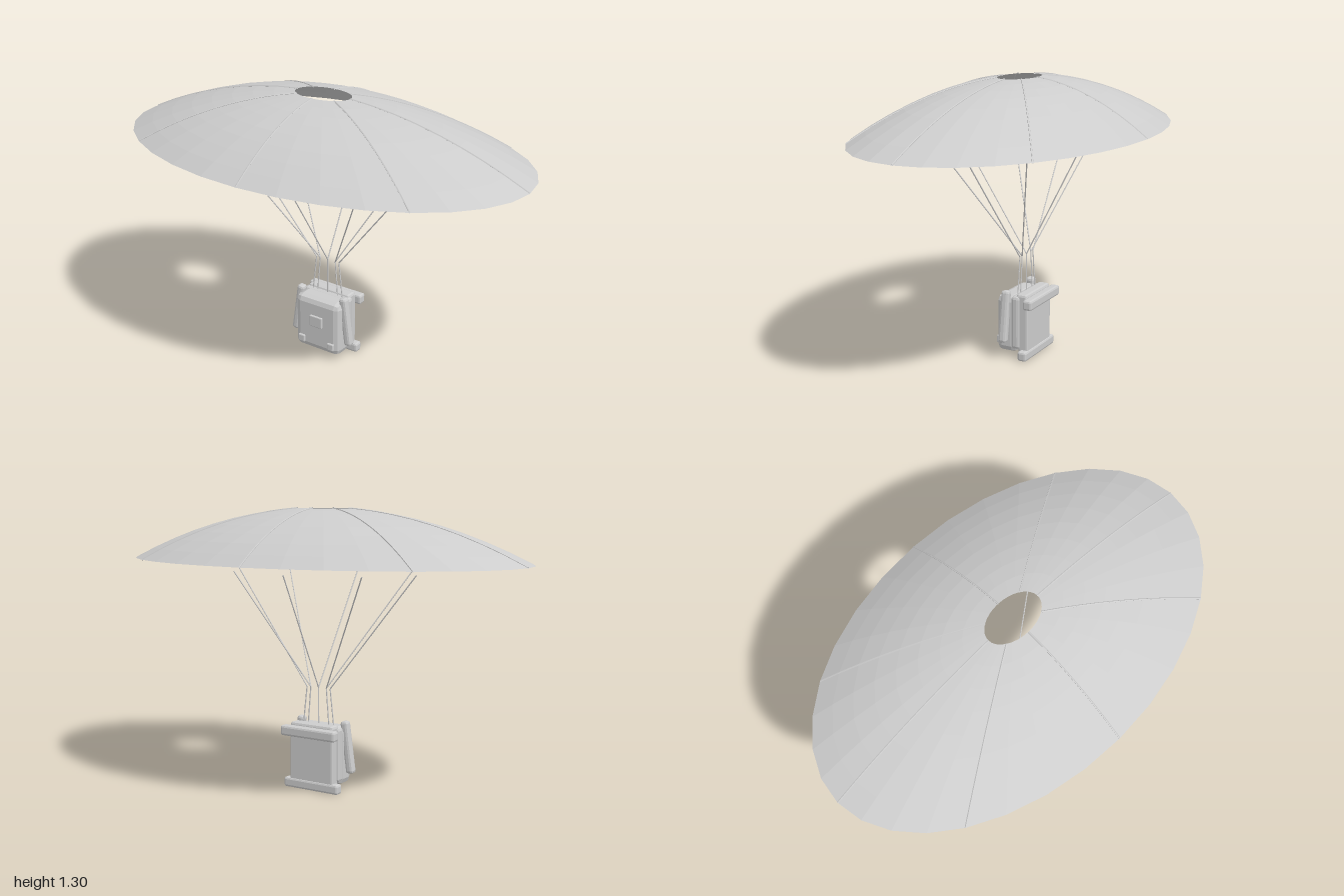
import * as THREE from 'three';
import { RoundedBoxGeometry } from 'three/addons/geometries/RoundedBoxGeometry.js';

const grey = new THREE.MeshStandardMaterial({ color: 0xcccccc, flatShading: true, side: THREE.DoubleSide });
grey.name = 'grey';

const DEPTH = 0.62; // canopy depth relative to its width
const domeY = (r) => 1.06 + 0.24 * (1 - r * r);

function add(parent, name, geometry, x = 0, y = 0, z = 0) {
  const mesh = new THREE.Mesh(geometry, grey);
  mesh.name = name;
  mesh.position.set(x, y, z);
  parent.add(mesh);
  return mesh;
}

// Rounded block given by its extents
function block(parent, name, [x0, x1], [y0, y1], [z0, z1], radius) {
  return add(parent, name, new RoundedBoxGeometry(x1 - x0, y1 - y0, z1 - z0, 1, radius),
    (x0 + x1) / 2, (y0 + y1) / 2, (z0 + z1) / 2);
}

// Thin straight cord between two points
function cord(parent, name, a, b, radius = 0.003) {
  const dir = b.clone().sub(a);
  const mesh = add(parent, name, new THREE.CylinderGeometry(radius, radius, dir.length(), 6));
  mesh.position.copy(a).add(b).multiplyScalar(0.5);
  mesh.quaternion.setFromUnitVectors(new THREE.Vector3(0, 1, 0), dir.normalize());
}

function buildCanopy() {
  const canopy = new THREE.Group();
  canopy.name = 'canopy';
  // Oval dome with an open vent at the crown
  const profile = [];
  for (let i = 0; i <= 8; i++) {
    const r = 1 - (i / 8) * 0.86;
    profile.push(new THREE.Vector2(r, domeY(r)));
  }
  const dome = new THREE.LatheGeometry(profile, 32);
  dome.scale(1, 1, DEPTH);
  add(canopy, 'dome', dome);
  // Eight seams from vent to rim
  for (let i = 0; i < 8; i++) {
    const a = i * Math.PI / 4;
    const points = profile.map((p) => new THREE.Vector3(Math.cos(a) * p.x * 0.998, p.y, Math.sin(a) * p.x * DEPTH * 0.998));
    add(canopy, 'seam', new THREE.TubeGeometry(new THREE.CatmullRomCurve3(points), 16, 0.004, 5));
  }
  return canopy;
}

function buildLines() {
  const lines = new THREE.Group();
  lines.name = 'suspensionLines';
  for (let i = 0; i < 8; i++) {
    const a = i * Math.PI / 4;
    const c = Math.cos(a);
    const side = Math.abs(c) < 0.01 ? 0 : Math.sign(c);
    const outer = Math.abs(c) > 0.9;
    const top = new THREE.Vector3(0.485 * c, 1.01, 0.313 * Math.sin(a));
    const knot = new THREE.Vector3(side * (outer ? 0.064 : 0.043), 0.475, -0.036);
    const foot = new THREE.Vector3(side * (outer ? 0.086 : 0.059), 0.28, -0.036);
    cord(lines, 'line', top, knot);
    cord(lines, 'riser', knot, foot);
  }
  return lines;
}

function buildPack() {
  const pack = new THREE.Group();
  pack.name = 'pack';
  block(pack, 'packBody', [-0.125, 0.125], [0.025, 0.3], [-0.05, 0.058], 0.03);
  block(pack, 'packRim', [-0.128, 0.128], [0.045, 0.302], [-0.066, -0.02], 0.015);
  block(pack, 'backPanel', [-0.118, 0.118], [0.03, 0.3], [-0.103, -0.055], 0.008);
  block(pack, 'topRoll', [-0.118, 0.118], [0.275, 0.312], [-0.1, -0.042], 0.012);
  // Bars across the back
  block(pack, 'upperBar', [-0.148, 0.148], [0.25, 0.298], [-0.137, -0.093], 0.01);
  block(pack, 'lowerBar', [-0.148, 0.148], [0, 0.046], [-0.109, -0.065], 0.01);
  // Front buckle
  block(pack, 'buckle', [-0.035, 0.035], [0.155, 0.212], [0.05, 0.068], 0.004);
  for (const s of [-1, 1]) {
    block(pack, 'clip', [s * 0.083 - 0.018, s * 0.083 + 0.018], [0.053, 0.09], [0.035, 0.068], 0.005);
    // Slanted side pad, wider apart at the foot
    const pad = block(pack, 'sidePad', [s * 0.136 - 0.019, s * 0.136 + 0.019], [0.08, 0.325], [-0.015, 0.025], 0.012);
    pad.rotation.z = s * 0.14;
  }
  return pack;
}

export function createModel() {
  const model = new THREE.Group();
  model.name = 'parachute';
  model.add(buildCanopy(), buildLines(), buildPack());
  return model;
}
